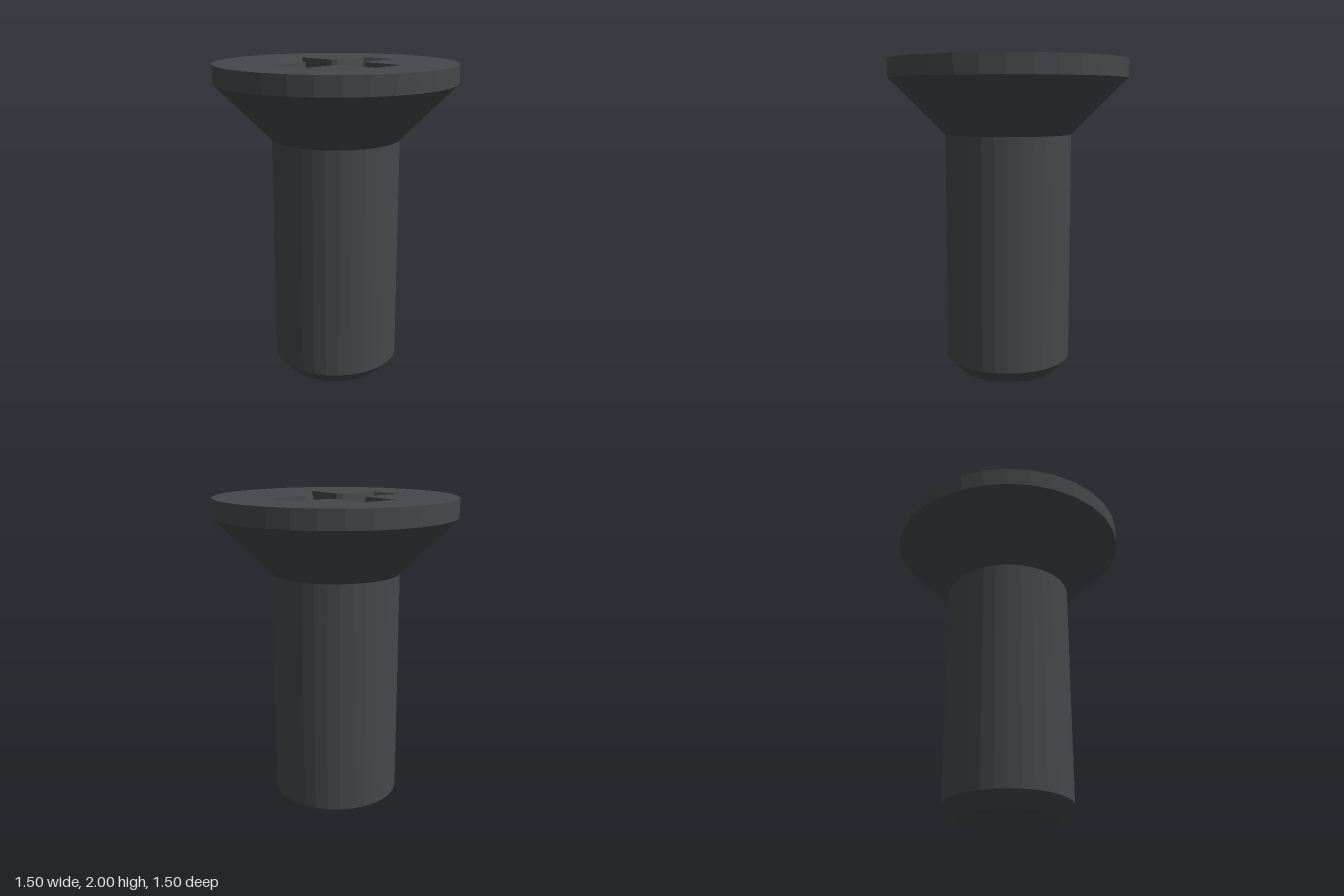
import * as THREE from 'three';

const SIDES = 32;
const TOP = 2;
const FLOOR = 1.72;

// Cross outline, counter-clockwise: arm reach, arm half-width, inner corner bevel
function crossOutline(reach, half, bevel) {
  const arm = [[reach, -half], [reach, half], [bevel, half], [half, bevel]];
  const points = [];
  for (let q = 0; q < 4; q++) {
    for (const [x, y] of arm) {
      points.push(new THREE.Vector2(x, y).rotateAround(new THREE.Vector2(), q * Math.PI / 2));
    }
  }
  return points;
}

function lathe(profile) {
  return new THREE.LatheGeometry(profile.map(([r, y]) => new THREE.Vector2(r, y)), SIDES);
}

// Flat upward-facing plate with one hole
function plate(outline, hole, y) {
  const shape = new THREE.Shape(outline);
  shape.holes.push(new THREE.Path(hole));
  return new THREE.ShapeGeometry(shape).rotateX(-Math.PI / 2).translate(0, y, 0);
}

function circle(radius) {
  return Array.from({ length: SIDES }, (_, i) => {
    const a = i / SIDES * Math.PI * 2;
    return new THREE.Vector2(Math.cos(a) * radius, Math.sin(a) * radius);
  });
}

// Inward-facing walls joining the upper outline to the lower one
function recessWalls(upper, lower) {
  const positions = [];
  upper.forEach((_, i) => {
    const j = (i + 1) % upper.length;
    const ti = [upper[i].x, TOP, -upper[i].y], tj = [upper[j].x, TOP, -upper[j].y];
    const bi = [lower[i].x, FLOOR, -lower[i].y], bj = [lower[j].x, FLOOR, -lower[j].y];
    positions.push(...bj, ...bi, ...ti, ...bj, ...ti, ...tj);
  });
  const geometry = new THREE.BufferGeometry();
  geometry.setAttribute('position', new THREE.Float32BufferAttribute(positions, 3));
  geometry.computeVertexNormals();
  return geometry;
}

export function createModel() {
  const group = new THREE.Group();
  group.name = 'countersunkScrew';
  const material = new THREE.MeshStandardMaterial({ color: 0x45474a, flatShading: true });
  const add = (name, geometry) => {
    const mesh = new THREE.Mesh(geometry, material);
    mesh.name = name;
    group.add(mesh);
  };

  // Shank with chamfered tip, and conical head with a straight rim
  add('shank', lathe([[0, 0], [0.31, 0], [0.4, 0.09], [0.4, 1.535]]));
  add('head', lathe([[0.4, 1.535], [0.75, 1.885], [0.75, TOP]]));

  // Tapered cross recess with a drilled centre
  const upper = crossOutline(0.41, 0.118, 0.144);
  const lower = crossOutline(0.27, 0.086, 0.118);
  const drill = 0.142;
  add('headTop', plate(circle(0.75), upper, TOP));
  add('recessWalls', recessWalls(upper, lower));
  add('recessFloor', plate(lower, circle(drill), FLOOR));
  add('recessCentre', lathe([[drill, FLOOR], [0, FLOOR - 0.05]]));

  return group;
}
